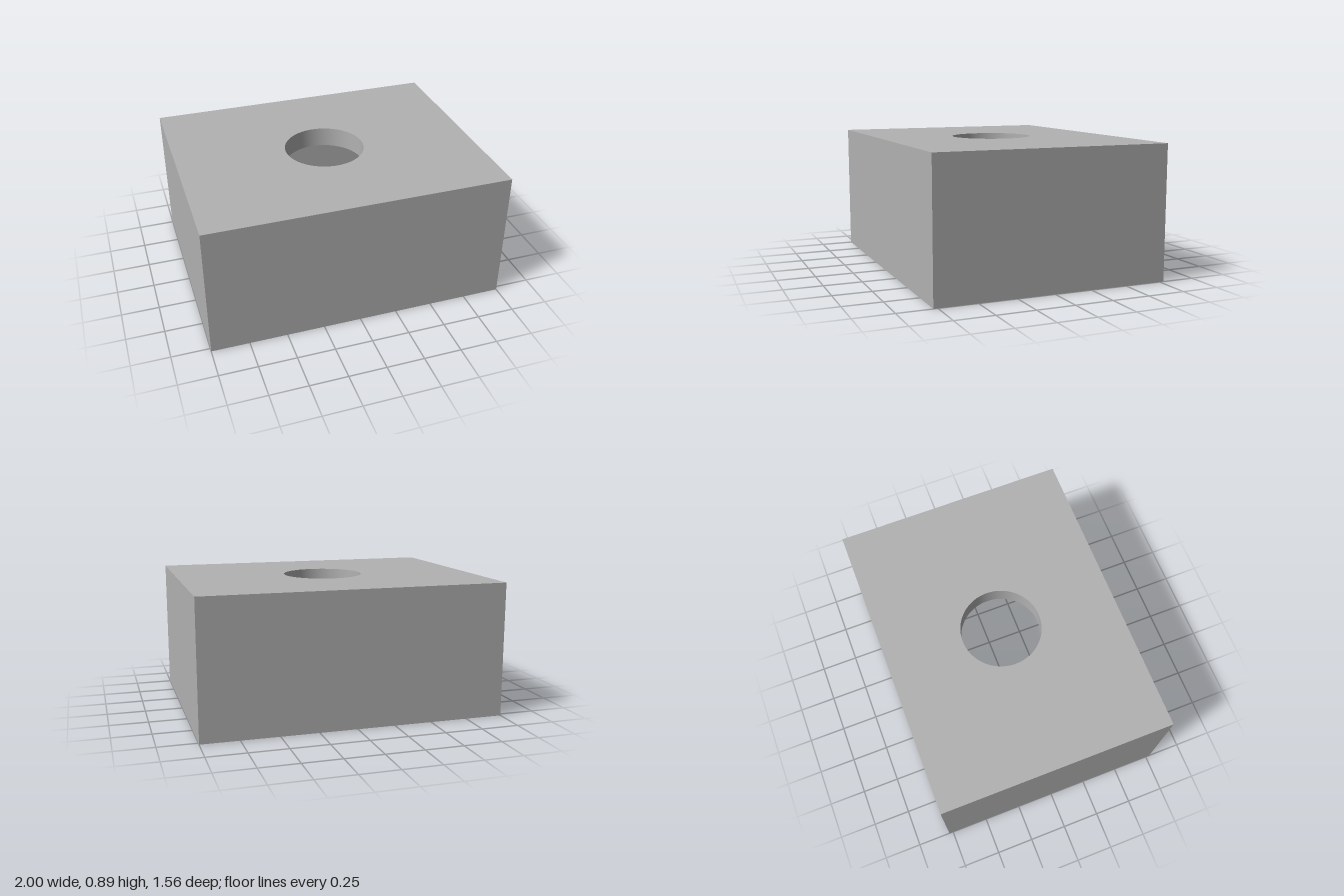
import * as THREE from 'three';
import { toCreasedNormals } from 'three/addons/utils/BufferGeometryUtils.js';

const W = 2, H = 0.889, D = 1.556; // outer size
const T = 0.133;                   // wall and top thickness
const R = 0.267;                   // hole radius

function trace(path, w, d) {
  path.moveTo(-w / 2, -d / 2);
  path.lineTo(w / 2, -d / 2);
  path.lineTo(w / 2, d / 2);
  path.lineTo(-w / 2, d / 2);
  path.closePath();
  return path;
}

// Extrudes a pierced rectangle upward from height y
function piercedSlab(name, hole, y, height, material) {
  const shape = trace(new THREE.Shape(), W, D);
  shape.holes.push(hole);
  let geometry = new THREE.ExtrudeGeometry(shape, { depth: height, bevelEnabled: false, curveSegments: 64 });
  geometry.rotateX(-Math.PI / 2);
  geometry = toCreasedNormals(geometry, Math.PI / 6);
  const mesh = new THREE.Mesh(geometry, material);
  mesh.name = name;
  mesh.position.y = y;
  return mesh;
}

export function createModel() {
  const grey = new THREE.MeshStandardMaterial({ color: 0xb2b2b2 });
  grey.name = 'grey';

  const model = new THREE.Group();
  model.name = 'openBottomBox';

  // Four walls around the open cavity
  model.add(piercedSlab('sideWalls', trace(new THREE.Path(), W - 2 * T, D - 2 * T), 0, H - T, grey));

  // Top plate with the round through hole
  const circle = new THREE.Path().absarc(0, 0, R, 0, Math.PI * 2, true);
  model.add(piercedSlab('topPlate', circle, H - T, T, grey));

  return model;
}
